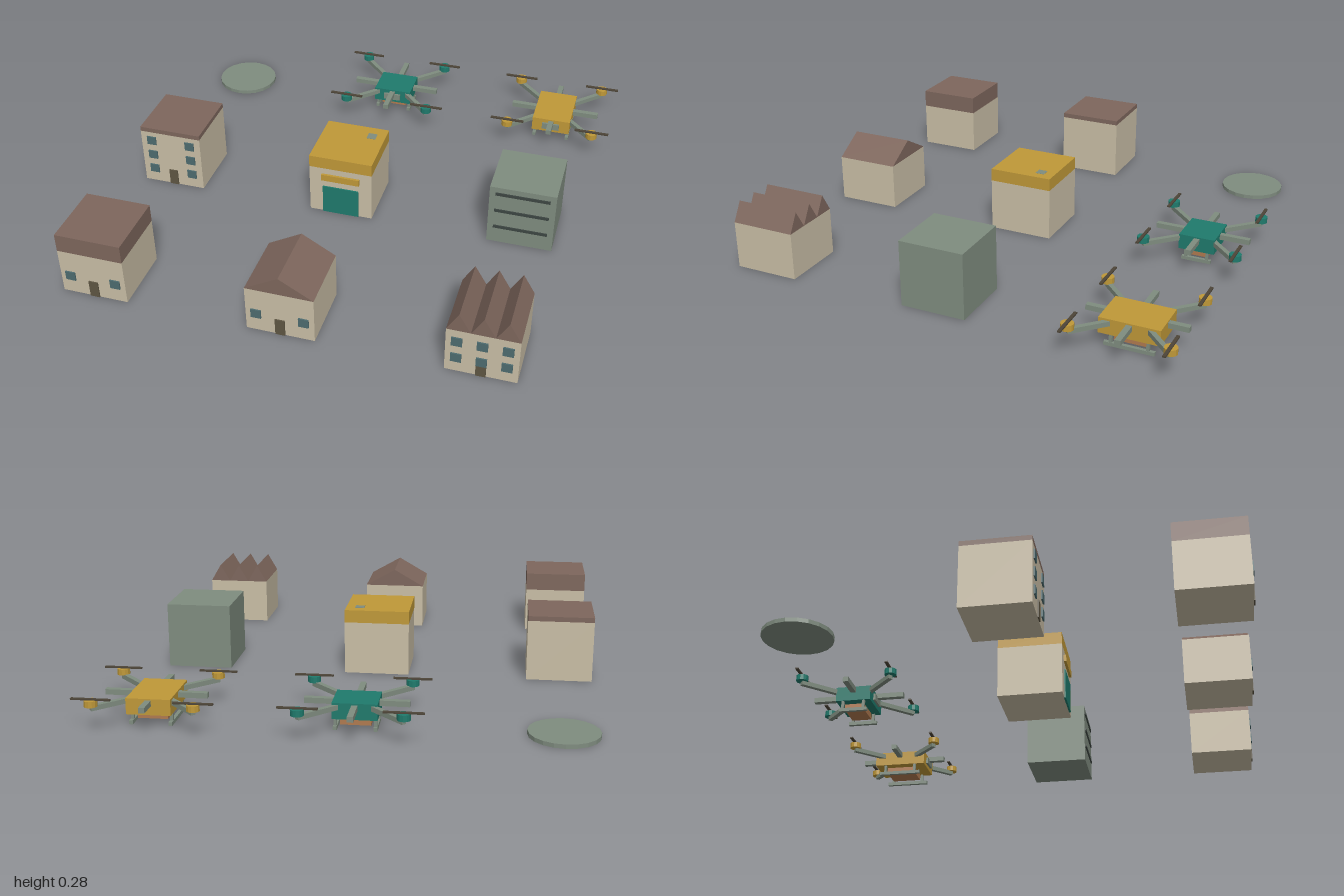
import * as THREE from 'three';

const material = (color) => new THREE.MeshStandardMaterial({ color, flatShading: true });
const M = {
  wall: material(0xc8bda5), roof: material(0x7d665c), ochre: material(0xbf9838),
  teal: material(0x1f7a6c), grey: material(0x7f8c7f), glass: material(0x4d6b6f),
  door: material(0x5e5643), parcel: material(0xb07a4f), dark: material(0x4d4538),
  slot: material(0x3d4642),
};
const S = 0.28, H = 0.283, EAVE = 0.203; // building footprint, full height, eave height

function add(parent, name, geometry, mat, x = 0, y = 0, z = 0) {
  const mesh = new THREE.Mesh(geometry, mat);
  mesh.name = name;
  mesh.position.set(x, y, z);
  parent.add(mesh);
  return mesh;
}

// Box placed by its bottom centre
const box = (parent, name, mat, w, h, d, x, y, z) =>
  add(parent, name, new THREE.BoxGeometry(w, h, d), mat, x, y + h / 2, z);

function cell(root, name, x, z) {
  const group = new THREE.Group();
  group.name = name;
  group.position.set(x, 0, z);
  root.add(group);
  return group;
}

// Row of triangular prisms, ridges running front to back
function gables(parent, count) {
  const w = S / count;
  for (let i = 0; i < count; i++) {
    const shape = new THREE.Shape();
    shape.moveTo(-w / 2, 0);
    shape.lineTo(w / 2, 0);
    shape.lineTo(0, H - EAVE);
    shape.closePath();
    const geometry = new THREE.ExtrudeGeometry(shape, { depth: S, bevelEnabled: false });
    add(parent, 'gableRoof', geometry, M.roof, -S / 2 + w * (i + 0.5), EAVE, -S / 2);
  }
}

// Walls, front door and a grid of windows
function house(root, name, x, z, wallHeight, columns, rows) {
  const g = cell(root, name, x, z);
  box(g, 'walls', M.wall, S, wallHeight, S, 0, 0, 0);
  box(g, 'door', M.door, 0.04, 0.075, 0.006, 0, 0, S / 2 + 0.002);
  for (const cx of columns) {
    for (const cy of rows) {
      box(g, 'window', M.glass, 0.042, 0.04, 0.008, cx, cy - 0.02, S / 2 + 0.002);
    }
  }
  return g;
}

function flatRoof(g, mat, y) {
  box(g, 'flatRoof', mat, S, H - y, S, 0, y, 0);
}

function shop(root, x, z) {
  const g = cell(root, 'shop', x, z);
  box(g, 'walls', M.wall, S, 0.228, S, 0, 0, 0);
  flatRoof(g, M.ochre, 0.228);
  box(g, 'shopDoor', M.teal, 0.16, 0.135, 0.008, 0, 0, S / 2 + 0.002);
  box(g, 'signBoard', M.ochre, 0.17, 0.03, 0.012, 0, 0.17, S / 2 + 0.005);
  box(g, 'roofVent', M.grey, 0.04, 0.02, 0.04, 0.08, H - 0.019, -0.075);
}

function warehouse(root, x, z) {
  const g = cell(root, 'warehouse', x, z);
  box(g, 'block', M.grey, S, H, S, 0, 0, 0);
  for (const y of [0.075, 0.16, 0.245]) {
    box(g, 'louvre', M.slot, 0.23, 0.013, 0.01, 0, y, S / 2);
  }
}

function drone(root, name, x, z, mat, depth) {
  const g = cell(root, name, x, z);
  box(g, 'body', mat, 0.176, 0.065, depth, 0, 0.053, 0);
  box(g, 'camera', M.grey, 0.08, 0.03, 0.02, 0, 0.07, depth / 2);
  // Straight cross bars
  box(g, 'crossBar', M.grey, 0.41, 0.022, 0.024, 0, 0.09, 0);
  box(g, 'crossBar', M.grey, 0.024, 0.022, 0.41, 0, 0.09, 0);
  // Diagonal arms with motors and propellers
  for (const sx of [-1, 1]) {
    for (const sz of [-1, 1]) {
      const arm = box(g, 'arm', M.grey, 0.28, 0.02, 0.02, sx * 0.1, 0.09, sz * 0.1);
      arm.rotation.y = -sx * sz * Math.PI / 4;
      add(g, 'motor', new THREE.CylinderGeometry(0.026, 0.026, 0.025, 12), mat,
        sx * 0.198, 0.12, sz * 0.198);
      box(g, 'propeller', M.dark, 0.155, 0.006, 0.013, sx * 0.198, 0.132, sz * 0.198);
    }
    // Landing skid
    box(g, 'skid', M.grey, 0.015, 0.015, depth * 0.82, sx * 0.078, 0.004, 0);
    for (const sz of [-1, 1]) {
      box(g, 'skidStrut', M.grey, 0.012, 0.045, 0.012, sx * 0.078, 0.012, sz * depth * 0.3);
    }
  }
  box(g, 'parcel', M.parcel, 0.12, 0.027, depth * 0.56, 0, 0.02, 0);
  box(g, 'parcelHook', M.dark, 0.03, 0.012, 0.03, 0, 0.044, 0);
}

export function createModel() {
  const root = new THREE.Group();
  root.name = 'droneTown';
  const X = [-0.86, -0.07, 0.72], Z = [0.83, 0.04, -0.755];

  // Front row: small houses
  flatRoof(house(root, 'flatHouse', X[0], Z[0], EAVE, [-0.097, 0.097], [0.085]), M.roof, EAVE);
  gables(house(root, 'gableHouse', X[1], Z[0], EAVE, [-0.097, 0.097], [0.085]), 1);
  gables(house(root, 'rowHouse', X[2], Z[0], EAVE, [-0.097, 0, 0.097], [0.07, 0.15]), 3);

  // Middle row: larger buildings
  flatRoof(house(root, 'apartmentHouse', X[0], Z[1], 0.262, [-0.09, 0.09], [0.07, 0.145, 0.22]), M.roof, 0.262);
  shop(root, X[1], Z[1]);
  warehouse(root, X[2], Z[1]);

  // Back row: landing pad and delivery drones
  const pad = cell(root, 'landingPad', X[0], Z[2]);
  add(pad, 'padDisc', new THREE.CylinderGeometry(0.14, 0.14, 0.017, 20), M.grey, 0, 0.0085, 0);
  drone(root, 'smallDrone', X[1], Z[2], M.teal, 0.155);
  drone(root, 'largeDrone', X[2], Z[2], M.ochre, 0.245);
  return root;
}
